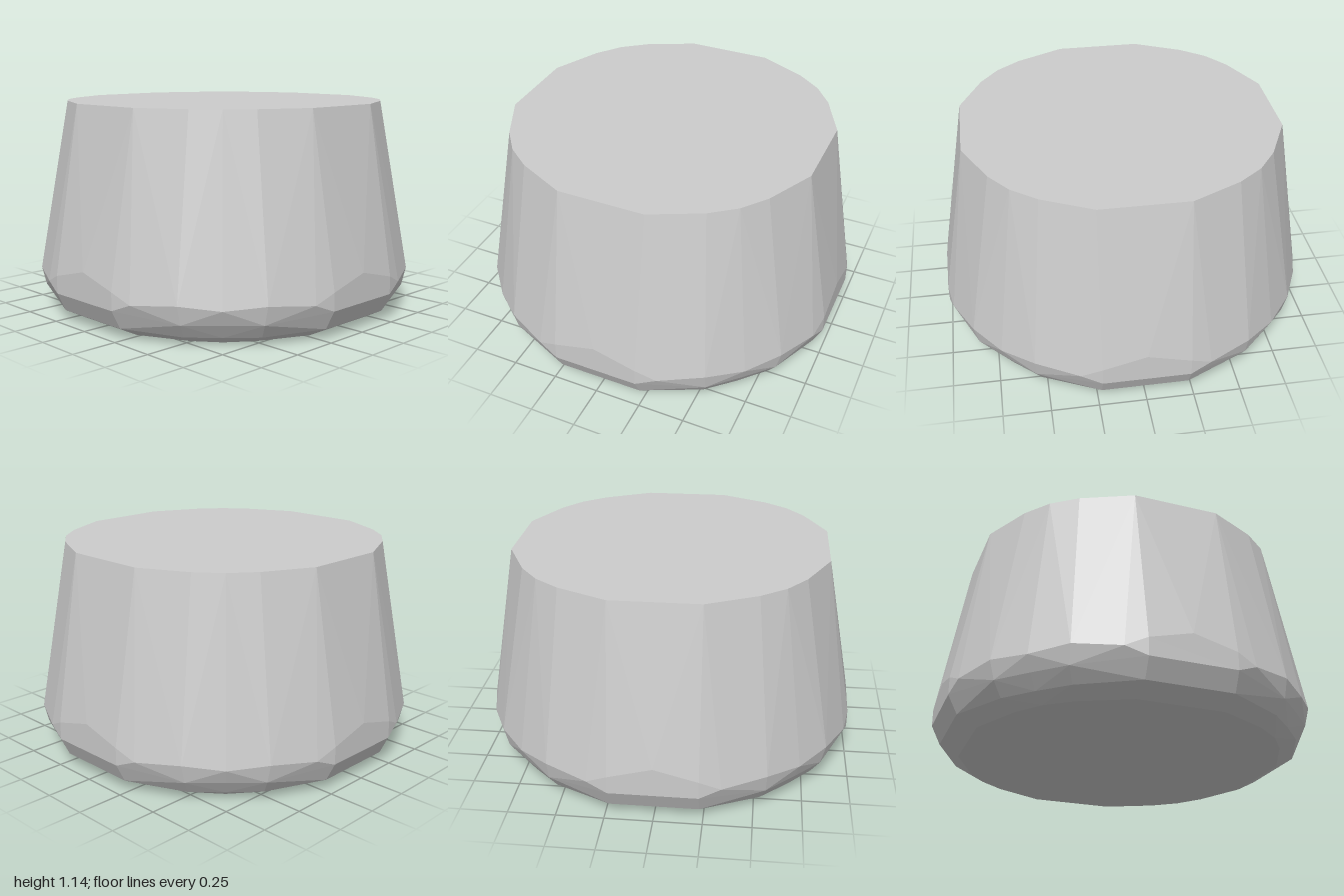
import * as THREE from 'three';
import { ConvexGeometry } from 'three/addons/geometries/ConvexGeometry.js';

// One eighth of the faceted outline, repeated by mirroring: [x, y, z]
const EIGHTH = [
  // flat top rim
  [0.23, 1.14, 0.845], [0.49, 1.14, 0.72], [0.62, 1.14, 0.62],
  // widest band
  [0, 0.31, 1], [0.23, 0.25, 1], [0.23, 0.155, 1], [0.34, 0.2, 0.975],
  [0.565, 0.22, 0.87], [0.73, 0.2, 0.73],
  // chipped lower bevel
  [0.56, 0.12, 0.845], [0.705, 0.12, 0.705],
  [0.23, 0.055, 0.95], [0.53, 0.045, 0.8], [0.67, 0.045, 0.67],
  // flat base
  [0.23, 0, 0.845], [0.49, 0, 0.72], [0.62, 0, 0.62],
];

// Mirror across x, z and the diagonal, dropping duplicates
function mirroredPoints() {
  const points = new Map();
  for (const [a, y, b] of EIGHTH) {
    for (const [x, z] of [[a, b], [b, a]]) {
      for (const sx of [-1, 1]) for (const sz of [-1, 1]) {
        const p = new THREE.Vector3(x * sx + 0, y, z * sz + 0);
        points.set(p.toArray().map((v) => v.toFixed(3)).join().replaceAll('-0.000', '0.000'), p);
      }
    }
  }
  return [...points.values()];
}

export function createModel() {
  const group = new THREE.Group();
  group.name = 'taperedBlock';

  // Solid faceted body with tapering sides
  const body = new THREE.Mesh(
    new ConvexGeometry(mirroredPoints()),
    new THREE.MeshStandardMaterial({ color: 0xcccccc, flatShading: true })
  );
  body.name = 'body';
  group.add(body);
  return group;
}
